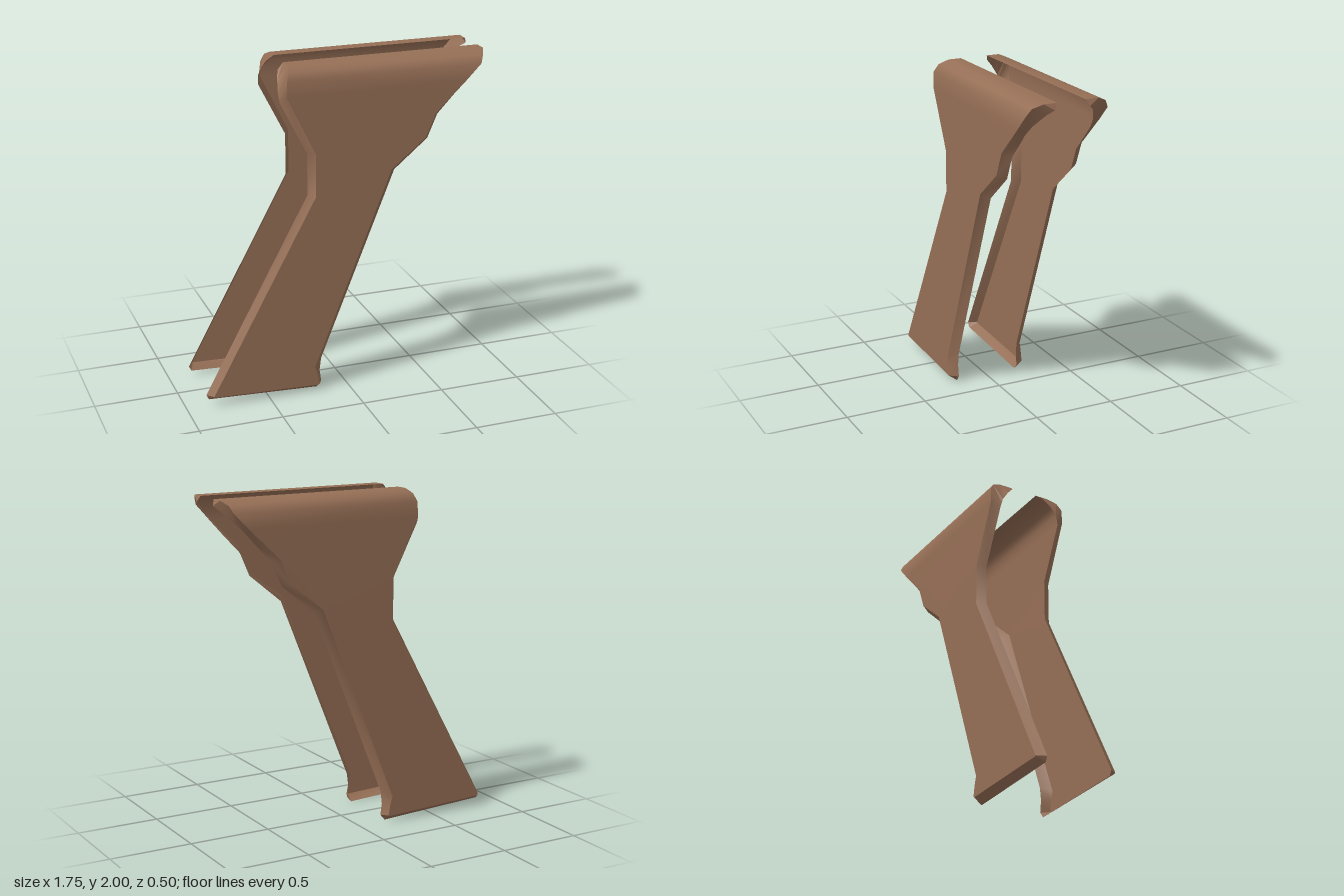
import * as THREE from 'three';
import { toCreasedNormals } from 'three/addons/utils/BufferGeometryUtils.js';

// Outline running counter-clockwise: [outer face point], [rim point]
const OUTLINE = [
  [[-0.84, 0.07, 0.25], [-0.875, 0.065, 0.2]],   // heel
  [[-0.83, 0.065, 0.25], [-0.86, 0.035, 0.2]],
  [[-0.195, 0.04, 0.25], [-0.19, 0.004, 0.2]],   // toe
  [[-0.187, 0.045, 0.25], [-0.16, 0.04, 0.2]],
  [[-0.2, 0.11, 0.25], [-0.17, 0.11, 0.2]],
  [[-0.215, 0.16, 0.25], [-0.16, 0.19, 0.2]],
  [[0.26, 1.35, 0.25], [0.295, 1.33, 0.2]],      // front edge
  [[0.47, 1.52, 0.25], [0.5, 1.5, 0.2]],
  [[0.53, 1.66, 0.25], [0.56, 1.64, 0.2]],
  [[0.72, 1.84, 0.25], [0.66, 1.745, 0.2]],      // curl, front end
  [[0.81, 1.93, 0.248], [0.71, 1.8, 0.2]],
  [[0.83, 1.975, 0.222], [0.766, 1.86, 0.185]],
  [[0.855, 2, 0.165], [0.84, 1.935, 0.14]],
  [[0.855, 2, 0.085], [0.87, 1.965, 0.105]],
  [[-0.34, 2, 0.085], [-0.38, 1.965, 0.105]],    // curl, back end
  [[-0.34, 2, 0.165], [-0.395, 1.92, 0.145]],
  [[-0.355, 1.975, 0.222], [-0.405, 1.86, 0.185]],
  [[-0.37, 1.93, 0.248], [-0.403, 1.83, 0.193]],
  [[-0.375, 1.84, 0.25], [-0.4, 1.8, 0.2]],
  [[-0.205, 1.49, 0.25], [-0.24, 1.485, 0.2]],   // back edge
  [[-0.205, 1.235, 0.25], [-0.24, 1.235, 0.2]],
];
const RIGHT = 9, LEFT = 18, STEPS = 4;

// Open shell for one side; side = 1 or -1 mirrors it in z
function shellGeometry(side) {
  const positions = [];
  const tri = (a, b, c) => {
    for (const p of side > 0 ? [a, b, c] : [a, c, b]) positions.push(p[0], p[1], p[2] * side);
  };
  const quad = (a, b, c, d) => { tri(a, b, c); tri(a, c, d); };
  const face = OUTLINE.map((o) => o[0]);
  const rim = OUTLINE.map((o) => o[1]);
  const n = OUTLINE.length;

  // Flat outer face below the curl
  const flat = face.filter((_, i) => i <= RIGHT || i >= LEFT);
  const contour = flat.map((p) => new THREE.Vector2(p[0], p[1]));
  for (const [a, b, c] of THREE.ShapeUtils.triangulateShape(contour, [])) {
    tri(flat[a], flat[b], flat[c]);
  }

  // Rounded top curling inward
  for (let k = 0; k < STEPS; k++) {
    quad(face[RIGHT + k], face[RIGHT + k + 1], face[LEFT - k - 1], face[LEFT - k]);
  }

  // Bevelled border, left open along the top inner edge
  for (let i = 0; i < n; i++) {
    if (i === RIGHT + STEPS) continue;
    const j = (i + 1) % n;
    quad(face[i], rim[i], rim[j], face[j]);
  }

  const geometry = new THREE.BufferGeometry();
  geometry.setAttribute('position', new THREE.Float32BufferAttribute(positions, 3));
  return toCreasedNormals(geometry, 0.64);
}

export function createModel() {
  const model = new THREE.Group();
  model.name = 'gripPanels';
  const brown = new THREE.MeshStandardMaterial({ color: 0x966f56, side: THREE.DoubleSide });
  brown.name = 'brown';
  for (const [name, side] of [['frontPanel', 1], ['backPanel', -1]]) {
    const panel = new THREE.Mesh(shellGeometry(side), brown);
    panel.name = name;
    model.add(panel);
  }
  return model;
}
